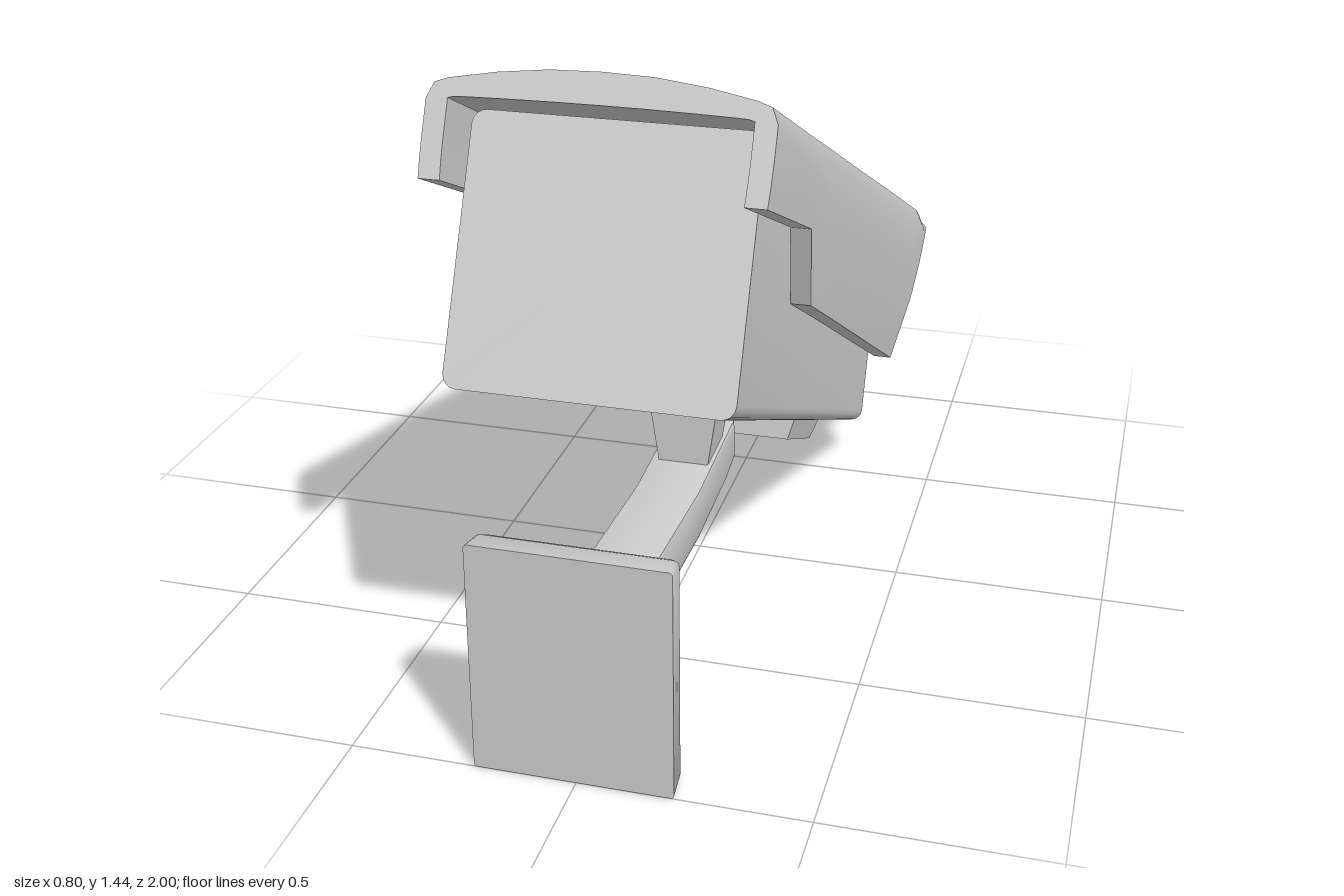
import * as THREE from 'three';
import { toCreasedNormals } from 'three/addons/utils/BufferGeometryUtils.js';

const V = (x, y, z) => new THREE.Vector3(x, y, z);

// Skin closed rings (counter-clockwise seen from +z) that run towards -z.
// Caps are fans, or strips joining outer and inner walls when hollow.
function loft(rings, hollow = false, crease = 0.6) {
  const pos = [];
  const tri = (...pts) => pts.forEach((p) => pos.push(p.x, p.y, p.z));
  const n = rings[0].length;
  for (let i = 0; i < rings.length - 1; i++) {
    for (let j = 0; j < n; j++) {
      const k = (j + 1) % n;
      const [a, b, c, d] = [rings[i][j], rings[i][k], rings[i + 1][j], rings[i + 1][k]];
      tri(a, c, b);
      tri(b, c, d);
    }
  }
  [rings[0], rings[rings.length - 1]].forEach((r, end) => {
    const face = (a, b, c) => (end ? tri(a, c, b) : tri(a, b, c));
    if (hollow) {
      for (let j = 0; j < n / 2 - 1; j++) {
        face(r[j], r[j + 1], r[n - 2 - j]);
        face(r[j], r[n - 2 - j], r[n - 1 - j]);
      }
    } else {
      const mid = r.reduce((s, p) => s.add(p), V(0, 0, 0)).divideScalar(n);
      for (let j = 0; j < n; j++) face(mid, r[j], r[(j + 1) % n]);
    }
  });
  const g = new THREE.BufferGeometry();
  g.setAttribute('position', new THREE.Float32BufferAttribute(pos, 3));
  return toCreasedNormals(g, crease);
}

// Rounded rectangle ring
function roundRect(z, cx, cy, hw, hh, r) {
  const pts = [];
  [[1, 1], [-1, 1], [-1, -1], [1, -1]].forEach(([sx, sy], q) => {
    for (let k = 0; k <= 4; k++) {
      const a = (q + k / 4) * Math.PI / 2;
      pts.push(V(cx + sx * (hw - r) + r * Math.cos(a), cy + sy * (hh - r) + r * Math.sin(a), z));
    }
  });
  return pts;
}

// Box whose underside is scaled
function taperedBox(w, h, d, sx, sz) {
  const g = new THREE.BoxGeometry(w, h, d);
  const p = g.attributes.position;
  for (let i = 0; i < p.count; i++) {
    if (p.getY(i) < 0) p.setXYZ(i, p.getX(i) * sx, p.getY(i), p.getZ(i) * sz);
  }
  g.computeVertexNormals();
  return g;
}

// Hood cross-section: u = distance along the body, b = lower edge, top = crown
function hoodRing([u, b, top]) {
  const w = 0.352 + 0.05 * (u + 0.134) / 1.934;
  const half = (hw, crown, drop) => {
    const shoulder = crown - 0.075 * drop;
    const pts = [[0, 0], [0.3, 0.003], [0.6, 0.015], [0.88, 0.033], [0.96, 0.043]]
      .map(([f, d]) => [f * hw, crown - d * drop]);
    for (let k = 0; k <= 4; k++) {
      const v = shoulder + (Math.min(b, shoulder) - shoulder) * k / 4;
      pts.push([hw - 0.03 * (Math.max(0, 0.5 - v) / 0.32) ** 2, v]);
    }
    return pts.map(([x, v]) => [x, Math.max(v, b)]);
  };
  const arch = (pts) => [
    ...pts.slice().reverse().map(([x, v]) => V(x, v, -u)),
    ...pts.slice(1).map(([x, v]) => V(-x, v, -u)),
  ];
  const outer = arch(half(w, top, 1));
  const inner = arch(half(w - 0.045, Math.min(0.572, top - 0.03), 0.1));
  return [...outer, ...inner.reverse()];
}

export function createModel() {
  const model = new THREE.Group();
  model.name = 'securityCamera';
  const grey = new THREE.MeshStandardMaterial({ color: 0xcccccc });
  grey.name = 'light grey';

  const add = (parent, name, geometry, x = 0, y = 0, z = 0) => {
    const m = new THREE.Mesh(geometry, grey);
    m.name = name;
    m.position.set(x, y, z);
    parent.add(m);
    return m;
  };

  // Tilted camera head; origin at the lower rear edge, looking along -z
  const head = new THREE.Group();
  head.name = 'cameraHead';
  head.position.set(0, 0.81, 0.88);
  head.rotation.x = -25.5 * Math.PI / 180;
  model.add(head);

  // Housing with a bevelled lens recess at the far end
  const cy = 0.2825;
  add(head, 'housing', loft([
    roundRect(0, 0, cy, 0.303, 0.2825, 0.03),
    roundRect(-1.61, 0, cy, 0.303, 0.2825, 0.03),
    roundRect(-1.61, 0, cy, 0.285, 0.265, 0.03),
    roundRect(-1.55, 0, cy, 0.215, 0.195, 0.045),
    roundRect(-1.3, 0, cy, 0.175, 0.155, 0.04),
  ]));

  // Sun hood with stepped sides and a turned-down lip
  const stations = [
    [-0.134, 0.402, 0.637], [0.271, 0.406, 0.637], [0.421, 0.254, 0.638],
    [0.81, 0.23, 0.638], [1.2, 0.205, 0.64], [1.599, 0.18, 0.64],
    [1.69, 0.352, 0.64], [1.74, 0.447, 0.633], [1.775, 0.513, 0.62], [1.8, 0.56, 0.6],
  ];
  add(head, 'sunHood', loft(stations.map(hoodRing), true));

  // Block under the housing
  add(head, 'undersideBlock', taperedBox(0.4, 0.08, 0.37, 0.88, 0.87), 0, -0.022, -1.395);

  // Wall plate
  add(model, 'wallPlate', loft([
    roundRect(1, -0.007, 0.265, 0.217, 0.265, 0.008),
    roundRect(0.94, -0.007, 0.265, 0.214, 0.257, 0.01),
    roundRect(0.925, -0.007, 0.265, 0.205, 0.25, 0.012),
    roundRect(0.915, -0.007, 0.265, 0.185, 0.23, 0.012),
  ], false, 0.9));

  // Bent arm, drawn in side profile and extruded across
  const profile = [[-0.93, 0.197], [-0.26, 0.176], [0, 0.196], [0.094, 0.218],
    [0.085, 0.324], [0.06, 0.324], [-0.26, 0.299], [-0.93, 0.333]];
  const armShape = new THREE.Shape(profile.map(([a, b]) => new THREE.Vector2(a, b)));
  const armGeometry = new THREE.ExtrudeGeometry(armShape, {
    depth: 0.136, bevelThickness: 0.01, bevelSize: 0.01, bevelOffset: -0.01, bevelSegments: 2,
  });
  armGeometry.translate(0, 0, -0.068).rotateY(Math.PI / 2);
  add(model, 'arm', toCreasedNormals(armGeometry, 0.6), -0.01, 0, 0);

  // Post joining the arm to the housing
  add(model, 'post', taperedBox(0.17, 0.2, 0.14, 0.65, 1), -0.005, 0.37, 0.07);

  return model;
}
